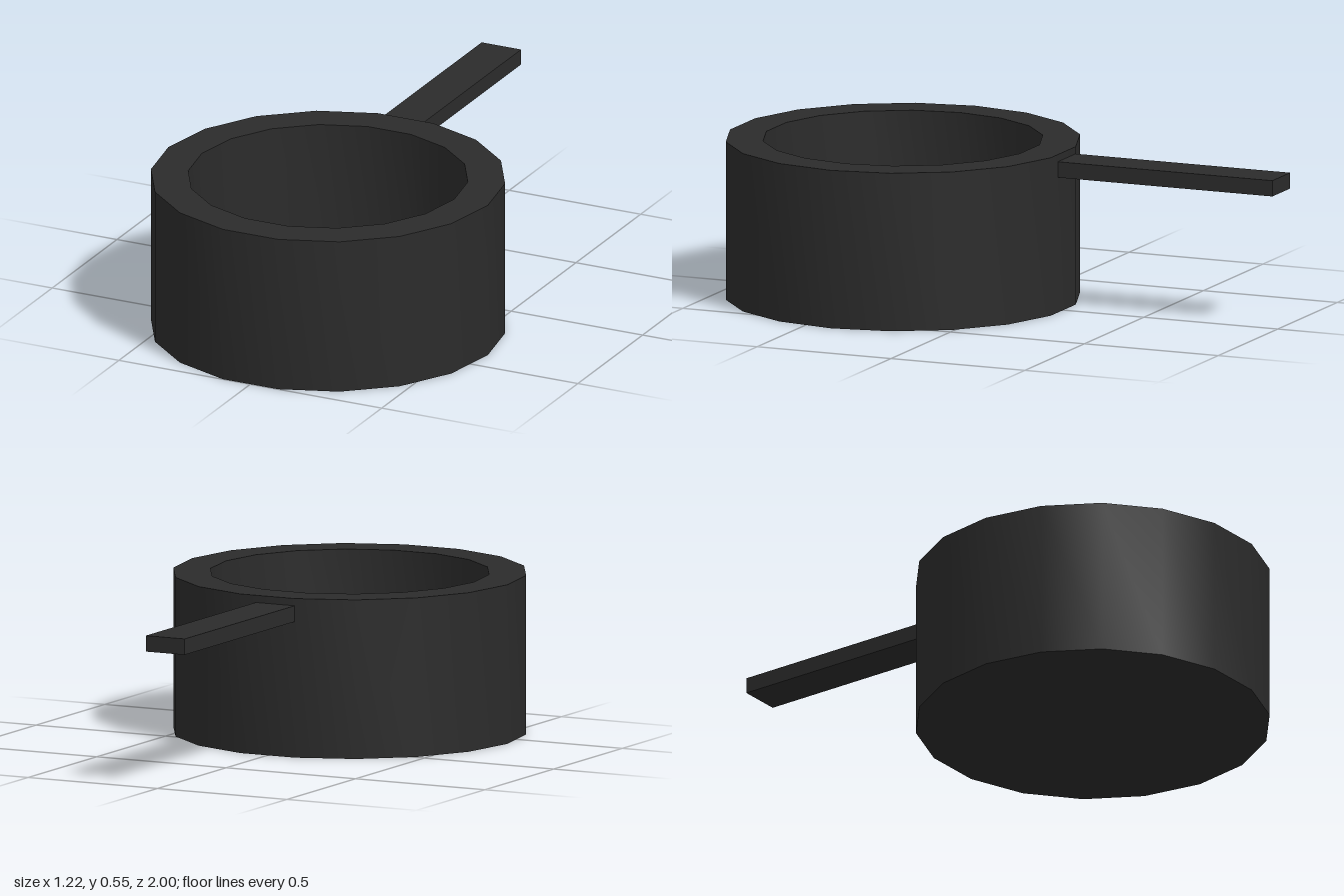
import * as THREE from 'three';
import { toCreasedNormals } from 'three/addons/utils/BufferGeometryUtils.js';

export function createModel() {
  const model = new THREE.Group();
  model.name = 'saucepan';
  const material = new THREE.MeshStandardMaterial({ color: 0x2b2b2b });

  // Pot: thick-walled 18-sided bowl, smooth walls with a sharp rim
  const outer = 0.608, inner = 0.48, height = 0.55, floor = 0.15;
  const profile = [
    [0, 0], [outer, 0], [outer, height], [inner, height], [inner, floor], [0, floor],
  ].map(([x, y]) => new THREE.Vector2(x, y));
  const potGeometry = new THREE.LatheGeometry(profile, 18, Math.PI / 18);
  const pot = new THREE.Mesh(toCreasedNormals(potGeometry, 0.7), material);
  pot.name = 'pot';
  pot.position.z = 0.4;
  model.add(pot);

  // Handle: flat bar running back from just below the rim
  const handle = new THREE.Mesh(new THREE.BoxGeometry(0.15, 0.055, 0.802), material);
  handle.name = 'handle';
  handle.position.set(-0.03, 0.4975, -0.599);
  model.add(handle);

  return model;
}
